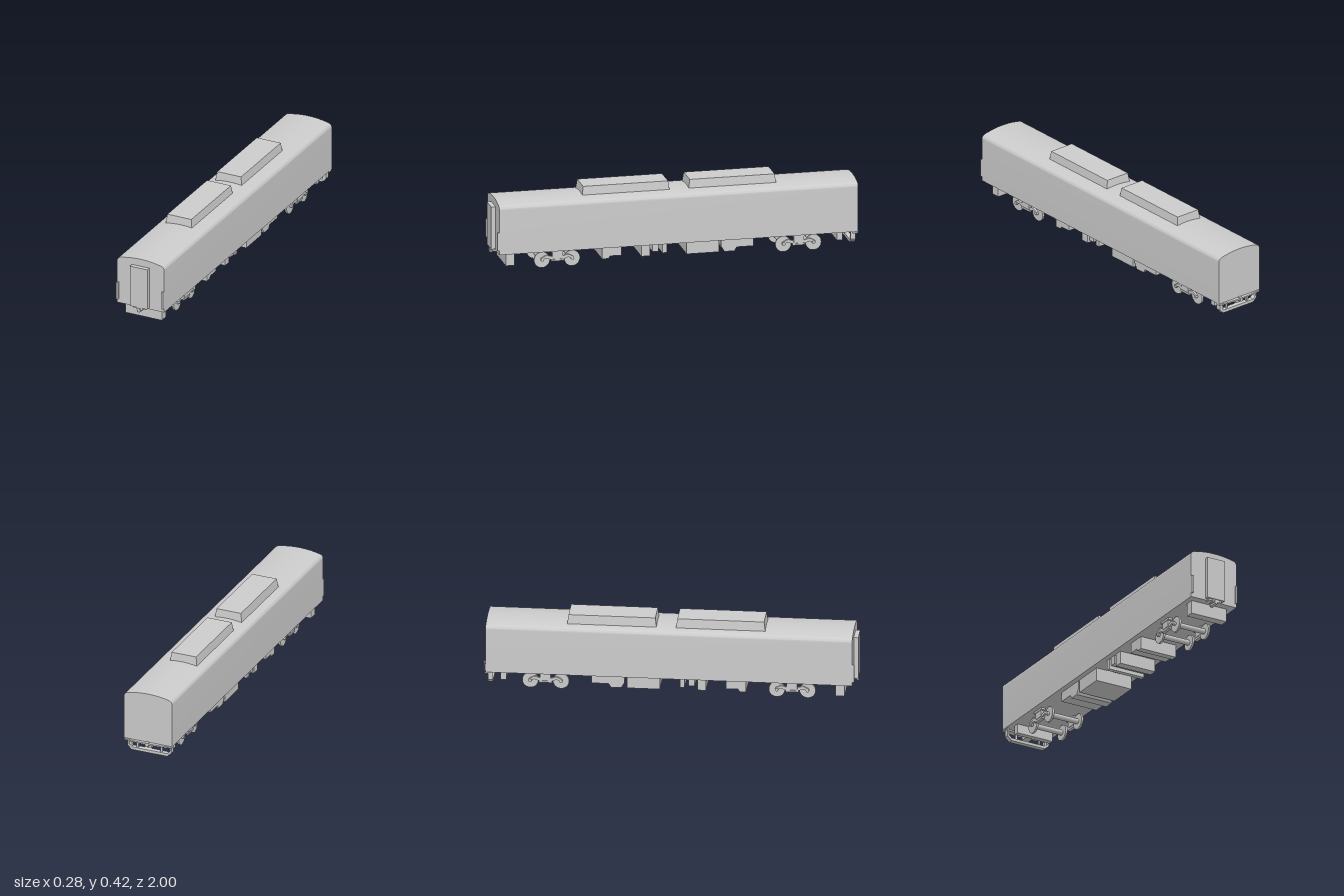
import * as THREE from 'three';
import { toCreasedNormals } from 'three/addons/utils/BufferGeometryUtils.js';

const material = new THREE.MeshStandardMaterial({ color: 0xcccccc });

export function createModel() {
  const root = new THREE.Group();

  const add = (name, geometry, parent = root) => {
    const mesh = new THREE.Mesh(geometry, material);
    mesh.name = name;
    parent.add(mesh);
    return mesh;
  };
  // Box given by its minimum and maximum on each axis
  const box = (name, x0, x1, y0, y1, z0, z1, parent) => {
    const g = new THREE.BoxGeometry(x1 - x0, y1 - y0, z1 - z0);
    g.translate((x0 + x1) / 2, (y0 + y1) / 2, (z0 + z1) / 2);
    return add(name, g, parent);
  };
  const polygon = (points) => new THREE.Shape(points.map(([a, b]) => new THREE.Vector2(a, b)));
  // Side profile in (z, y), extruded across x
  const sideExtrude = (name, shape, x0, x1, parent) => {
    const g = new THREE.ExtrudeGeometry(shape, { depth: x1 - x0, bevelEnabled: false });
    g.rotateY(-Math.PI / 2).translate(x1, 0, 0);
    return add(name, toCreasedNormals(g, 0.6), parent);
  };
  // Front profile in (x, y), extruded along z
  const frontExtrude = (name, shape, z0, z1, parent) => {
    const g = new THREE.ExtrudeGeometry(shape, { depth: z1 - z0, bevelEnabled: false, curveSegments: 12 });
    g.translate(0, 0, z0);
    return add(name, toCreasedNormals(g, 0.6), parent);
  };
  const cylinderX = (name, radius, x0, x1, y, z, sides, parent) => {
    const g = new THREE.CylinderGeometry(radius, radius, x1 - x0, sides);
    g.rotateZ(Math.PI / 2).translate((x0 + x1) / 2, y, z);
    return add(name, g, parent);
  };

  // Car body with arched roof
  const section = new THREE.Shape();
  section.moveTo(-0.14, 0.098);
  section.lineTo(0.14, 0.098);
  section.lineTo(0.14, 0.343);
  section.bezierCurveTo(0.14, 0.357, 0.132, 0.365, 0.116, 0.368);
  section.bezierCurveTo(0.07, 0.378, 0.035, 0.381, 0, 0.381);
  section.bezierCurveTo(-0.035, 0.381, -0.07, 0.378, -0.116, 0.368);
  section.bezierCurveTo(-0.132, 0.365, -0.14, 0.357, -0.14, 0.343);
  section.closePath();
  frontExtrude('carBody', section, -0.978, 0.976);

  // Front end: gangway, corner plates and coupler
  box('gangway', -0.052, 0.052, 0.106, 0.34, 0.97, 1);
  for (const s of [-1, 1]) {
    const x = s * 0.135;
    box('cornerPlate', x - 0.005, x + 0.005, 0.12, 0.22, 0.97, 0.987);
  }
  box('couplerMount', -0.038, 0.038, 0.096, 0.107, 0.96, 0.99);
  box('couplerHousing', -0.016, 0.02, 0.09, 0.106, 0.96, 0.995);
  box('frontCoupler', -0.008, 0.008, 0.079, 0.1, 0.95, 1);

  // Tapered roof units
  for (const [z0, z1] of [[0.03, 0.51], [-0.55, -0.07]]) {
    const g = new THREE.BoxGeometry(0.16, 0.063, z1 - z0).toNonIndexed();
    const p = g.attributes.position;
    for (let i = 0; i < p.count; i++) {
      if (p.getY(i) < 0) continue;
      p.setX(i, p.getX(i) - Math.sign(p.getX(i)) * 0.009);
      p.setZ(i, p.getZ(i) - Math.sign(p.getZ(i)) * 0.009);
    }
    g.computeVertexNormals();
    g.translate(-0.012, 0.3915, (z0 + z1) / 2);
    add('roofUnit', g);
  }

  // Underfloor equipment, full width
  const left = 0.104, right = -0.111, floor = 0.1;
  for (const [z0, z1, y] of [
    [0.885, 0.933, 0.025], [0.148, 0.194, 0.028], [0.1, 0.134, 0.05],
    [0.055, 0.08, 0.04], [-0.228, -0.052, 0.025], [-0.9, -0.87, 0.046],
  ]) box('underfloorBox', right, left, y, floor, z0, z1);
  sideExtrude('steppedBox', polygon([
    [0.408, floor], [0.408, 0.028], [0.372, 0.028], [0.365, 0.042], [0.302, 0.042], [0.302, floor],
  ]), right, left);
  sideExtrude('chamferedBox', polygon([
    [-0.24, floor], [-0.24, 0.055], [-0.258, 0.025], [-0.312, 0.025], [-0.325, 0.046], [-0.415, 0.046], [-0.415, floor],
  ]), right, left);

  // Bogies with two wheelsets and curved side frames
  const bogie = (zc) => {
    const group = new THREE.Group();
    group.name = 'bogie';
    group.position.set(0.002, 0, zc);
    root.add(group);
    for (const z of [-0.082, 0.082]) {
      cylinderX('axle', 0.015, -0.085, 0.085, 0.043, z, 16, group);
      for (const s of [-1, 1]) {
        cylinderX('wheel', 0.043, s * 0.089 - 0.0055, s * 0.089 + 0.0055, 0.043, z, 28, group);
        cylinderX('axleBox', 0.009, s * 0.1 - 0.008, s * 0.1 + 0.008, 0.045, z, 12, group);
      }
    }
    const upper = [[-0.088, 0.054], [-0.06, 0.068], [-0.04, 0.064], [0, 0.056], [0.04, 0.064], [0.06, 0.068], [0.088, 0.054]];
    const lower = [[0.088, 0.042], [0.06, 0.052], [0.04, 0.046], [0, 0.038], [-0.04, 0.046], [-0.06, 0.052], [-0.088, 0.042]];
    const smooth = (pts) => new THREE.SplineCurve(pts.map(([a, b]) => new THREE.Vector2(a, b))).getPoints(24);
    const frame = new THREE.Shape([...smooth(upper), ...smooth(lower)]);
    for (const s of [-1, 1]) {
      const x = s * 0.1;
      sideExtrude('sideFrame', frame, x - 0.006, x + 0.006, group);
      box('springSupport', x - 0.009, x + 0.009, 0.05, 0.1, -0.028, 0.028, group);
      box('springPlate', x - 0.009, x + 0.009, 0.036, 0.046, -0.034, 0.034, group);
      box('supportPad', x - 0.012, x + 0.012, 0.086, 0.1, -0.038, 0.038, group);
    }
  };
  bogie(0.652);
  bogie(-0.662);

  // Rear end: curved step, open guard frame and coupler
  const step = new THREE.Shape();
  step.moveTo(-0.138, 0.95);
  step.lineTo(0.138, 0.95);
  step.lineTo(0.138, 0.98);
  step.quadraticCurveTo(0, 1.008, -0.138, 0.98);
  step.closePath();
  const stepGeometry = new THREE.ExtrudeGeometry(step, { depth: 0.008, bevelEnabled: false });
  stepGeometry.rotateX(-Math.PI / 2).translate(0, 0.088, 0);
  add('rearStep', toCreasedNormals(stepGeometry, 0.6));

  const guard = polygon([
    [-0.131, 0.1], [-0.131, 0.053], [-0.106, 0.03], [0.1, 0.03], [0.125, 0.053], [0.125, 0.1],
    [0.117, 0.1], [0.117, 0.062], [0.1, 0.046], [-0.106, 0.046], [-0.122, 0.062], [-0.122, 0.1],
  ]);
  frontExtrude('rearGuard', guard, -0.967, -0.94);
  for (const x of [-0.07, 0.07]) box('guardBracket', x - 0.005, x + 0.005, 0.04, 0.1, -0.96, -0.95);
  box('rearCouplerHousing', -0.02, 0.02, 0.065, 0.1, -0.975, -0.93);
  box('rearCoupler', -0.008, 0.008, 0.079, 0.1, -1, -0.93);
  box('connectorBox', 0.1, 0.113, 0.036, 0.076, -0.965, -0.945);

  return root;
}
